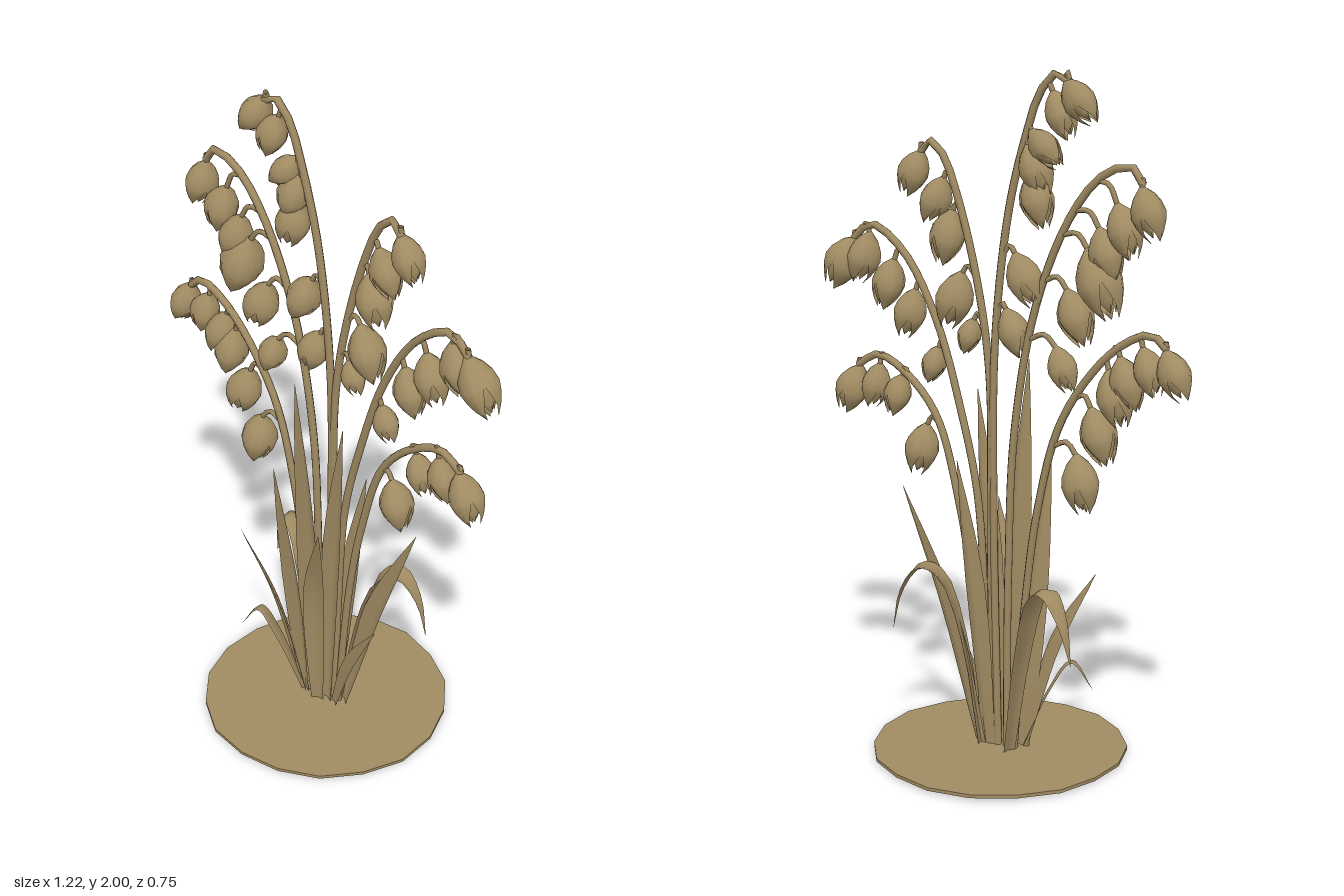
import * as THREE from 'three';
import { ParametricGeometry } from 'three/addons/geometries/ParametricGeometry.js';
import { mergeGeometries } from 'three/addons/utils/BufferGeometryUtils.js';

const V = (x, y, z = 0) => new THREE.Vector3(x, y, z);

// Piecewise-linear lookup in evenly spaced values
function lookup(values, t) {
  const f = t * (values.length - 1), i = Math.min(Math.floor(f), values.length - 2);
  return THREE.MathUtils.lerp(values[i], values[i + 1], f - i);
}

// Closed bud of unit length and radius hanging along -y: outer and inner whorls of pointed petals
function makeBell() {
  const radius = [0.12, 0.62, 0.9, 1, 0.88, 0.66, 0.34], halfAngle = [1.15, 1.15, 1.12, 1, 0.8, 0.5, 0.03];
  const petals = [];
  for (let i = 0; i < 6; i++) {
    const inner = i % 2, scale = inner ? 0.9 : 1;
    petals.push(new ParametricGeometry((u, v, p) => {
      const a = i * Math.PI / 3 + (u * 2 - 1) * lookup(halfAngle, v);
      const r = lookup(radius, v) * scale * (1 - 0.08 * Math.abs(u * 2 - 1));
      p.set(Math.sin(a) * r, -v * (inner ? 0.92 : 1), Math.cos(a) * r);
    }, 4, 6));
  }
  return mergeGeometries(petals);
}

// Tapering blade swept along a path, folded slightly along its midrib
function makeLeaf(points, width, side) {
  const path = new THREE.CatmullRomCurve3(points.map(p => V(...p)));
  const across = V(...side).normalize();
  return new ParametricGeometry((u, v, p) => {
    const s = u * 2 - 1, tangent = path.getTangent(v);
    const w = across.clone().addScaledVector(tangent, -across.dot(tangent)).normalize();
    const normal = w.clone().cross(tangent);
    const half = width / 2 * lookup([0.55, 0.8, 1, 1, 0.8, 0.45, 0.02], v);
    p.copy(path.getPoint(v)).addScaledVector(w, s * half).addScaledVector(normal, (Math.abs(s) - 0.5) * half * 0.35);
  }, 2, 14);
}

export function createModel() {
  const model = new THREE.Group();
  const tan = new THREE.MeshStandardMaterial({ color: 0xa08b62, side: THREE.DoubleSide });
  tan.name = 'tan';
  const bellGeometry = makeBell();

  function add(parent, geometry, name) {
    const mesh = new THREE.Mesh(geometry, tan);
    mesh.name = name;
    parent.add(mesh);
    return mesh;
  }

  // Flower stalk: path points [x, y]; bells [top x, top y, tip x, tip y]
  function addStalk(name, points, bells) {
    const group = new THREE.Group();
    group.name = name;
    model.add(group);
    const path = new THREE.CatmullRomCurve3(points.map(p => V(...p)));
    add(group, new THREE.TubeGeometry(path, 36, 0.0115, 7), 'stem');
    const samples = path.getSpacedPoints(120);
    bells.forEach(([x, y, tipX, tipY], i) => {
      const top = V(x, y), drop = V(tipX, tipY).sub(top), length = drop.length();
      const bell = add(group, bellGeometry, 'bell');
      bell.position.copy(top);
      bell.quaternion.setFromUnitVectors(V(0, -1), drop.clone().normalize())
        .multiply(new THREE.Quaternion().setFromAxisAngle(V(0, 1), i * 0.9));
      const r = length * 0.33;
      bell.scale.set(r, length, r);
      // Short arched stalk joining the bell to the stem
      const anchor = V(x, y - 0.02);
      const start = samples.reduce((a, b) => (b.distanceTo(anchor) < a.distanceTo(anchor) ? b : a));
      const mid = start.clone().lerp(top, 0.6).add(V(0, 0.025));
      const arch = new THREE.CatmullRomCurve3([start, mid, top.clone().addScaledVector(drop, 0.05)]);
      add(group, new THREE.TubeGeometry(arch, 6, 0.008, 5), 'bellStalk');
    });
  }

  addStalk('tallLeftStalk',
    [[0.005, 0], [0.02, 0.7], [0.015, 1.23], [-0.03, 1.6], [-0.085, 1.81], [-0.135, 1.94], [-0.19, 1.99], [-0.225, 1.965]],
    [[-0.21, 1.97, -0.305, 1.86], [-0.17, 1.94, -0.225, 1.81], [-0.1, 1.83, -0.195, 1.735], [-0.09, 1.79, -0.15, 1.65],
      [-0.1, 1.71, -0.145, 1.56], [-0.05, 1.485, -0.12, 1.34], [-0.02, 1.325, -0.075, 1.19]]);
  addStalk('middleLeftStalk',
    [[-0.025, 0], [-0.03, 0.55], [-0.05, 0.97], [-0.12, 1.34], [-0.23, 1.6], [-0.33, 1.72], [-0.42, 1.75], [-0.455, 1.705]],
    [[-0.45, 1.7, -0.5, 1.555], [-0.375, 1.65, -0.425, 1.5], [-0.32, 1.58, -0.37, 1.43], [-0.285, 1.52, -0.365, 1.33],
      [-0.22, 1.4, -0.28, 1.245], [-0.185, 1.235, -0.235, 1.11]]);
  addStalk('lowLeftStalk',
    [[-0.05, 0], [-0.085, 0.44], [-0.13, 0.76], [-0.2, 1.01], [-0.31, 1.18], [-0.41, 1.27], [-0.49, 1.3], [-0.535, 1.265]],
    [[-0.53, 1.265, -0.595, 1.13], [-0.46, 1.265, -0.505, 1.13], [-0.39, 1.23, -0.44, 1.08], [-0.355, 1.19, -0.4, 1.03],
      [-0.3, 1.075, -0.355, 0.915], [-0.255, 0.935, -0.285, 0.765]]);
  addStalk('tallRightStalk',
    [[0.02, 0], [0.03, 0.6], [0.035, 1.13], [0.075, 1.39], [0.145, 1.64], [0.195, 1.75], [0.24, 1.78], [0.265, 1.745]],
    [[0.26, 1.75, 0.32, 1.62], [0.185, 1.68, 0.245, 1.545], [0.155, 1.59, 0.195, 1.43], [0.125, 1.415, 0.18, 1.25],
      [0.085, 1.285, 0.12, 1.18]]);
  addStalk('middleRightStalk',
    [[0.035, 0], [0.05, 0.4], [0.075, 0.76], [0.13, 1.0], [0.22, 1.275], [0.33, 1.455], [0.445, 1.525], [0.505, 1.475]],
    [[0.495, 1.48, 0.59, 1.33], [0.445, 1.5, 0.495, 1.35], [0.36, 1.43, 0.405, 1.28], [0.285, 1.35, 0.33, 1.205],
      [0.205, 1.19, 0.245, 1.08]]);
  addStalk('lowRightStalk',
    [[0.05, 0], [0.09, 0.44], [0.14, 0.73], [0.22, 0.985], [0.33, 1.1], [0.425, 1.14], [0.495, 1.1]],
    [[0.485, 1.1, 0.55, 0.955], [0.415, 1.115, 0.45, 0.98], [0.335, 1.09, 0.375, 0.965], [0.25, 0.955, 0.29, 0.8]]);

  // Upright blades
  const flat = [1, 0, 0.15];
  add(model, makeLeaf([[-0.03, 0, 0.03], [-0.035, 0.6, 0.04], [-0.055, 1.17, 0.07]], 0.095, flat), 'tallLeaf');
  add(model, makeLeaf([[0.02, 0, 0.02], [0.045, 0.6, 0.02], [0.1, 1.07, 0.04]], 0.08, flat), 'tallRightLeaf');
  add(model, makeLeaf([[-0.06, 0, 0.03], [-0.085, 0.45, 0.06], [-0.11, 0.87, 0.105]], 0.08, flat), 'leftLeaf');
  add(model, makeLeaf([[0.03, 0, -0.01], [0.07, 0.5, -0.03], [0.12, 0.87, -0.04]], 0.075, flat), 'rightLeaf');
  add(model, makeLeaf([[0, 0, 0.04], [0.015, 0.45, 0.07], [0.08, 0.73, 0.12]], 0.065, [1, 0, -0.5]), 'frontLeaf');

  // Leaning blades
  add(model, makeLeaf([[0.06, 0, -0.01], [0.17, 0.4, -0.02], [0.315, 0.765, -0.035]], 0.085, [1, 0, 0.4]), 'leaningRightLeaf');
  add(model, makeLeaf([[0.05, 0, 0.02], [0.13, 0.22, 0.04], [0.24, 0.415, 0.05]], 0.055, [1, 0, 0.5]), 'shortRightLeaf');
  add(model, makeLeaf([[-0.06, 0, 0.03], [-0.15, 0.34, 0.06], [-0.27, 0.56, 0.09]], 0.06, [1, 0, 0.5]), 'leaningLeftLeaf');
  add(model, makeLeaf([[-0.06, 0, 0.03], [-0.14, 0.2, 0.06], [-0.2, 0.285, 0.08], [-0.26, 0.2, 0.1]], 0.04, [0.4, 0, 1]), 'shortLeftLeaf');

  // Arching blades at the back, one on each side
  for (const s of [-1, 1]) {
    add(model, makeLeaf([[s * 0.05, 0, -0.03], [s * 0.1, 0.32, -0.04], [s * 0.165, 0.52, -0.065], [s * 0.22, 0.545, -0.085],
      [s * 0.275, 0.47, -0.1], [s * 0.305, 0.345, -0.105]], 0.075, [s * 0.35, 0, 1]), 'archingLeaf');
  }

  // Thin ground disc with an uneven rim
  const disc = new THREE.CylinderGeometry(0.375, 0.375, 0.01, 18);
  const pos = disc.attributes.position;
  for (let i = 0; i < pos.count; i++) {
    const a = Math.atan2(pos.getZ(i), pos.getX(i)), k = 1 + 0.015 * Math.sin(a * 5 + 1) * Math.cos(a * 2);
    pos.setX(i, pos.getX(i) * k);
    pos.setZ(i, pos.getZ(i) * k);
  }
  add(model, disc, 'ground').position.y = 0.005;
  return model;
}
